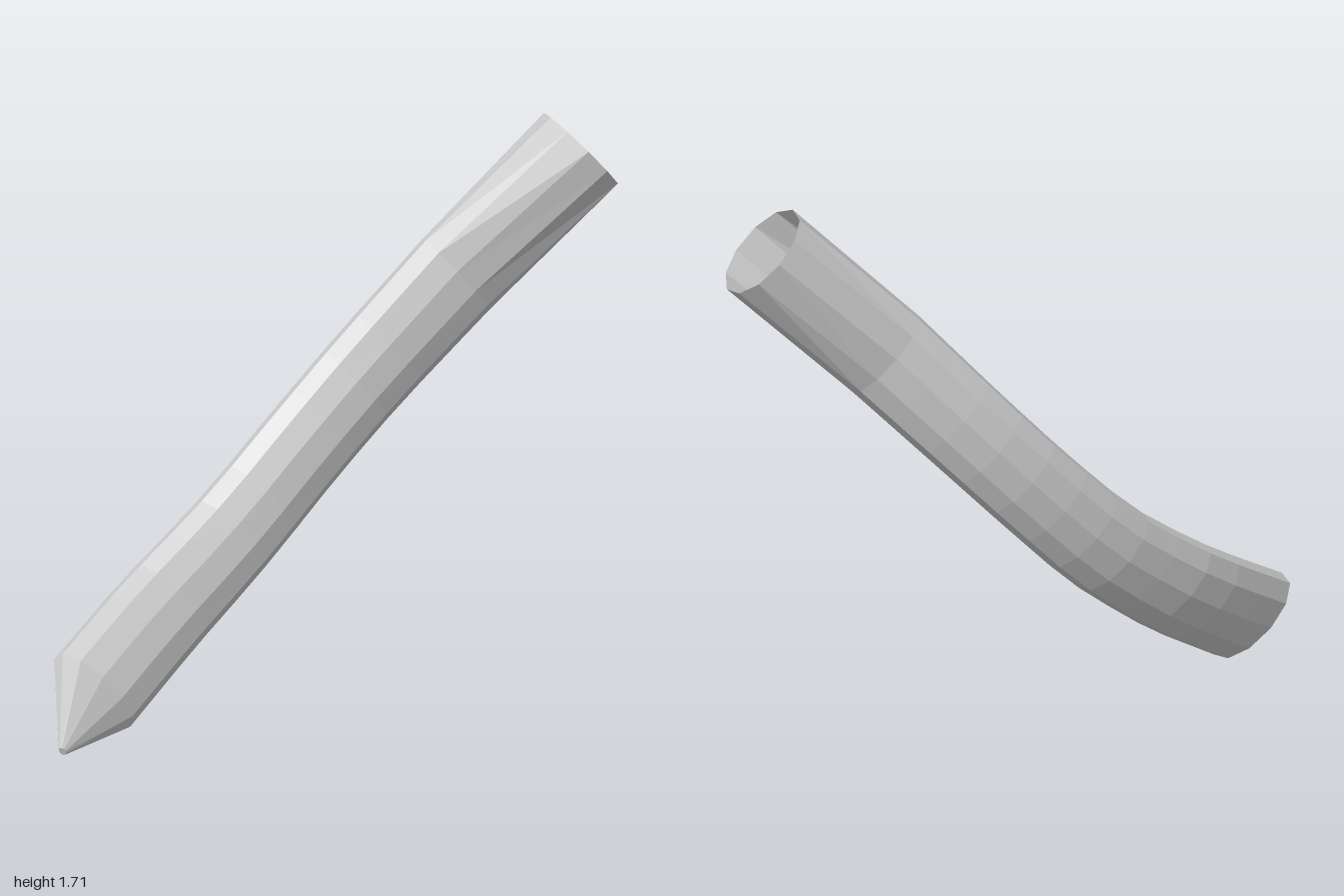
import * as THREE from 'three';

const SIDES = 11;
const WIDE = new THREE.Vector3(-0.69, 0.72, 0).normalize(); // broad axis of every cross-section

// Ring of points around a centre; `along` points towards the tip
function ring(centre, along, wide, thin) {
  const n = new THREE.Vector3().crossVectors(WIDE, along).normalize();
  return Array.from({ length: SIDES }, (_, j) => {
    const a = 0.09 + (j / SIDES) * Math.PI * 2;
    return centre.clone()
      .addScaledVector(n, -Math.cos(a) * thin)
      .addScaledVector(WIDE, Math.sin(a) * wide);
  });
}

// Skin consecutive rings, optionally closing the last one
function loft(name, rings, material, closeEnd = false) {
  const index = [];
  for (let i = 0; i < rings.length - 1; i++) {
    for (let j = 0; j < SIDES; j++) {
      const k = (j + 1) % SIDES;
      const a = i * SIDES + j, b = i * SIDES + k;
      index.push(a, a + SIDES, b, b, a + SIDES, b + SIDES);
    }
  }
  if (closeEnd) {
    const s = (rings.length - 1) * SIDES;
    for (let j = 1; j < SIDES - 1; j++) index.push(s, s + j + 1, s + j);
  }
  const geometry = new THREE.BufferGeometry().setFromPoints(rings.flat());
  geometry.setIndex(index);
  geometry.computeVertexNormals();
  const mesh = new THREE.Mesh(geometry, material);
  mesh.name = name;
  return mesh;
}

export function createModel() {
  const group = new THREE.Group();
  group.name = 'curvedSpike';
  const material = new THREE.MeshStandardMaterial({
    color: 0xcccccc, flatShading: true, side: THREE.DoubleSide,
  });

  // Curved shaft: flattened section swept along a bend
  const curve = new THREE.CatmullRomCurve3([
    [0.5, 1.25, -0.382], [0.2, 0.94, -0.39], [0, 0.735, -0.36], [-0.2, 0.54, -0.295],
    [-0.35, 0.42, -0.22], [-0.5, 0.31, -0.135], [-0.77, 0.125, 0.085],
  ].map((p) => new THREE.Vector3(...p)));
  const steps = 12;
  const shaft = [];
  for (let i = 0; i <= steps; i++) {
    const t = i / steps;
    const wide = 0.154 - 0.009 * Math.sin(Math.PI * Math.min(1, t * 1.25)) + 0.008 * t * t;
    shaft.push(ring(curve.getPointAt(t), curve.getTangentAt(t), wide, 0.082));
  }
  group.add(loft('shaft', shaft, material));

  // Open round socket flaring out of the shaft
  const rim = ring(new THREE.Vector3(0.885, 1.612, -0.367), new THREE.Vector3(-0.72, -0.69, 0), 0.157, 0.157);
  group.add(loft('socket', [rim, shaft[0]], material));

  // Tapered point
  const tip = ring(new THREE.Vector3(-0.99, 0.033, 0.517), new THREE.Vector3(-0.22, -0.09, 0.43), 0.014, 0.009);
  group.add(loft('point', [shaft[steps], tip], material, true));

  return group;
}
